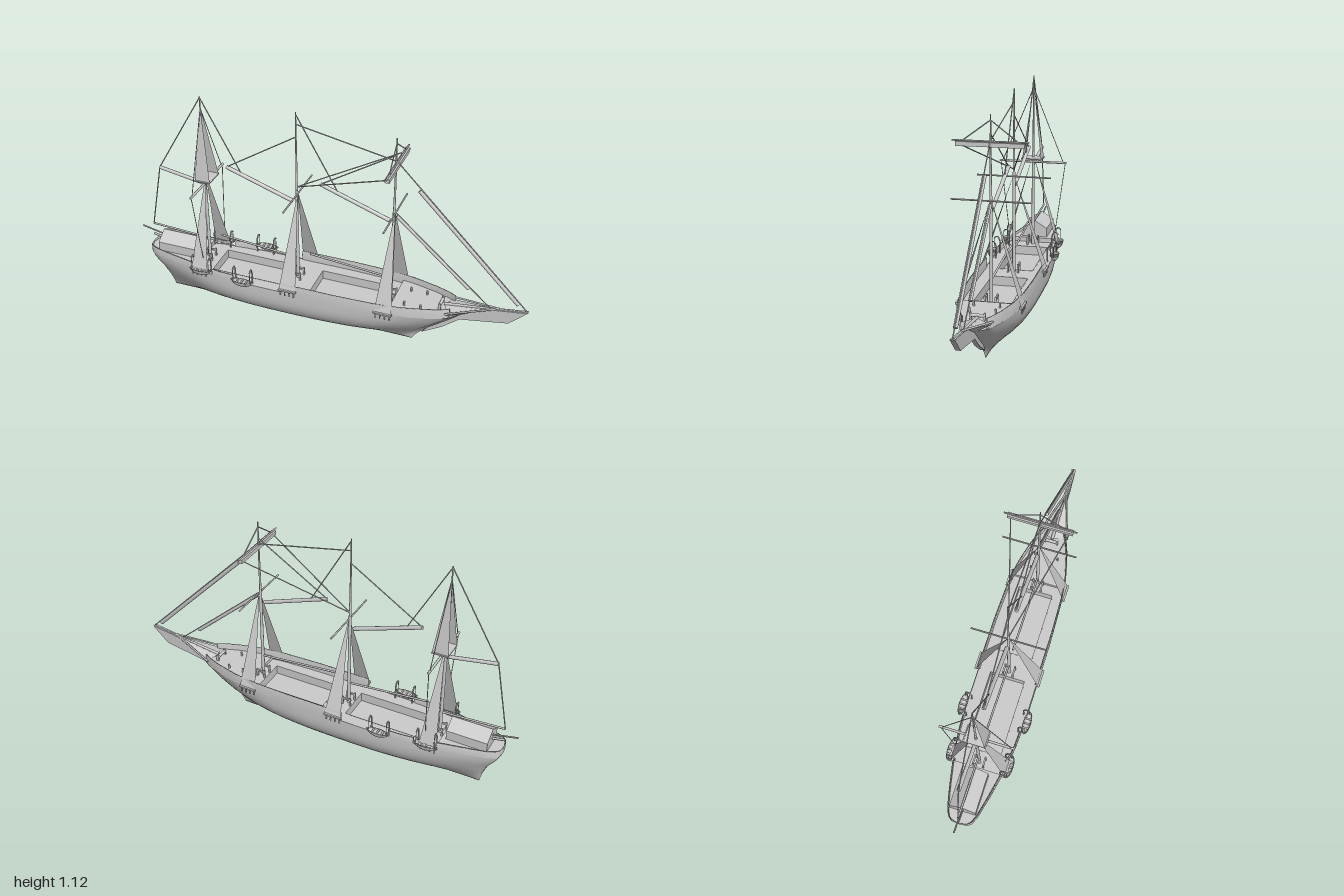
import * as THREE from 'three';

const MAT = new THREE.MeshStandardMaterial({ color: 0xcccccc, side: THREE.DoubleSide });
const V = (x, y, z = 0) => new THREE.Vector3(x, y, z);

// piecewise-linear lookup through [key, value] pairs
function lookup(table, k) {
  if (k <= table[0][0]) return table[0][1];
  for (let i = 1; i < table.length; i++) {
    const [a, va] = table[i - 1], [b, vb] = table[i];
    if (k <= b) return va + (vb - va) * (k - a) / (b - a);
  }
  return table[table.length - 1][1];
}

const BEAM = [[-0.94, 0], [-0.935, 0.042], [-0.92, 0.06], [-0.88, 0.077], [-0.78, 0.1], [-0.63, 0.13],
  [-0.5, 0.145], [-0.35, 0.152], [0.1, 0.152], [0.3, 0.145], [0.42, 0.13], [0.54, 0.1], [0.63, 0.067], [0.7, 0]];
const STERN = [[0, -0.84], [0.06, -0.855], [0.13, -0.885], [0.19, -0.93], [0.22, -0.94]];
const STEM = [[0, 0.45], [0.04, 0.475], [0.12, 0.575], [0.17, 0.64], [0.22, 0.7]];
const beam = x => lookup(BEAM, x);
const RAIL = 0.22;

export function createModel() {
  const ship = new THREE.Group();
  ship.name = 'sailingShip';

  const add = (name, geo, x = 0, y = 0, z = 0) => {
    const m = new THREE.Mesh(geo, MAT);
    m.name = name;
    m.position.set(x, y, z);
    ship.add(m);
    return m;
  };
  const box = (name, w, h, d, x, y, z) => add(name, new THREE.BoxGeometry(w, h, d), x, y, z);
  const rod = (name, a, b, r = 0.002, r2 = r, sides = 6) => {
    const m = add(name, new THREE.CylinderGeometry(r2, r, a.distanceTo(b), sides));
    m.position.copy(a).lerp(b, 0.5);
    m.quaternion.setFromUnitVectors(V(0, 1, 0), b.clone().sub(a).normalize());
    return m;
  };
  // surface lofted from cross-sections: fn(i, j) gives a point
  const loft = (name, nu, nv, fn) => {
    const pos = [], idx = [];
    for (let i = 0; i <= nu; i++) for (let j = 0; j <= nv; j++) pos.push(...fn(i, j));
    for (let i = 0; i < nu; i++) for (let j = 0; j < nv; j++) {
      const a = i * (nv + 1) + j, b = a + nv + 1;
      idx.push(a, a + 1, b, b, a + 1, b + 1);
    }
    const g = new THREE.BufferGeometry();
    g.setAttribute('position', new THREE.Float32BufferAttribute(pos, 3));
    g.setIndex(idx);
    g.computeVertexNormals();
    return add(name, g);
  };
  const panel = (name, ...pts) => {
    const g = new THREE.BufferGeometry().setFromPoints(pts);
    g.setIndex(pts.length === 4 ? [0, 1, 2, 0, 2, 3] : [0, 1, 2]);
    g.computeVertexNormals();
    return add(name, g);
  };

  // hull: round-bilged amidships, sharp at the ends
  const NU = 48, NV = 12;
  loft('hull', NU, NV * 2, (i, j) => {
    const u = (1 - Math.cos(Math.PI * i / NU)) / 2;
    const t = Math.pow(Math.abs(j - NV) / NV, 1.4), y = t * RAIL;
    const x0 = lookup(STERN, y), x1 = lookup(STEM, y);
    const p = 1.4 + 2.3 * Math.pow(Math.sin(Math.PI * u), 0.8);
    const z = beam(-0.94 + 1.64 * u) * (1 - Math.pow(1 - t, p));
    return [x0 + (x1 - x0) * u, y, Math.sign(j - NV) * z];
  });

  // decks cut to the hull outline, the main deck with two open wells
  const wells = [[-0.57, -0.17], [-0.05, 0.31]], WZ = 0.09;
  const deck = (name, x0, x1, y, holes = []) => {
    const edge = [];
    for (let i = 0; i <= 24; i++) {
      const x = x0 + (x1 - x0) * i / 24;
      edge.push([x, Math.max(0, beam(x) - 0.002)]);
    }
    const pts = [...edge, ...edge.slice().reverse().map(([x, z]) => [x, -z])];
    const s = new THREE.Shape(pts.map(p => new THREE.Vector2(...p)));
    for (const [a, b] of holes)
      s.holes.push(new THREE.Path([[a, -WZ], [a, WZ], [b, WZ], [b, -WZ]].map(p => new THREE.Vector2(...p))));
    add(name, new THREE.ShapeGeometry(s).rotateX(-Math.PI / 2), 0, y, 0);
  };
  deck('mainDeck', -0.67, 0.37, 0.217, wells);
  deck('poopDeck', -0.939, -0.66, 0.24);
  deck('foreDeck', 0.36, 0.699, 0.235);
  box('poopBulkhead', 0.004, 0.03, 0.25, -0.66, 0.225, 0);
  box('foreBulkhead', 0.004, 0.025, 0.27, 0.36, 0.2225, 0);
  for (const [a, b] of wells) {
    const c = (a + b) / 2;
    box('wellFloor', b - a, 0.004, WZ * 2, c, 0.17, 0);
    for (const s of [-1, 1]) {
      box('wellSide', b - a, 0.048, 0.004, c, 0.194, s * WZ);
      box('wellEnd', 0.004, 0.048, WZ * 2, c + s * (b - a) / 2, 0.194, 0);
    }
  }

  // bulwarks in separate lengths, with thickness
  for (const [a, b, top] of [[-0.94, -0.66, 0.252], [-0.55, -0.43, 0.25], [-0.18, 0.64, 0.267]])
    for (const s of [-1, 1])
      loft('bulwark', 24, 3, (i, j) => {
        const x = a + (b - a) * (a < -0.9 ? Math.pow(i / 24, 2) : i / 24);
        const z = Math.max(0, beam(x) - (j > 1 ? 0.007 : 0));
        return [x, j === 0 || j === 3 ? 0.215 : top, s * z];
      });

  // beak head: central plate with sloping side panels
  const beak = new THREE.Shape([[0.62, 0.25], [0.995, 0.305], [0.91, 0.225], [0.68, 0.185], [0.6, 0.12], [0.5, 0.06], [0.58, 0.16]]
    .map(p => new THREE.Vector2(...p)));
  add('beakHead', new THREE.ExtrudeGeometry(beak, { depth: 0.022, bevelEnabled: false }), 0, 0, -0.011);
  for (const s of [-1, 1]) {
    panel('headDeck', V(0.6, 0.25), V(0.84, 0.285), V(0.63, 0.235, s * 0.07));
    panel('headCheek', V(0.63, 0.235, s * 0.07), V(0.84, 0.285), V(0.69, 0.21));
    rod('headRail', V(0.62, 0.245, s * 0.075), V(0.86, 0.29), 0.005);
  }
  rod('bowsprit', V(0.6, 0.25), V(0.995, 0.303), 0.008, 0.004);

  // stern cabin with a gabled roof
  const gable = new THREE.Shape([[-0.065, 0], [0.065, 0], [0.065, 0.048], [0, 0.088], [-0.065, 0.048]]
    .map(p => new THREE.Vector2(...p)));
  add('cabin', new THREE.ExtrudeGeometry(gable, { depth: 0.2, bevelEnabled: false }).rotateY(Math.PI / 2), -0.88, 0.242, 0);
  rod('sternBoom', V(-1, 0.325), V(-0.86, 0.295), 0.004);
  rod('sternBracket', V(-0.94, 0.29), V(-0.87, 0.275), 0.006);

  // masts with shroud panels, chain plates and rail posts
  const masts = [['mizzen', -0.625, 1.12, 0.23], ['main', -0.145, 1.125, 0.24], ['fore', 0.335, 1.085, 0.225]];
  for (const [n, x, top, base] of masts) {
    rod(n + 'LowerMast', V(x, 0.17), V(x, 0.72), 0.009, 0.007, 8);
    rod(n + 'Topmast', V(x, 0.7), V(x, top), 0.006, 0.003, 8);
    for (const s of [-1, 1]) {
      const z = s * (beam(x) + 0.008);
      panel(n + 'Shrouds', V(x + 0.005, 0.71), V(x - 0.037, base, z), V(x + 0.048, base, z));
      box(n + 'Channel', 0.09, 0.008, 0.016, x + 0.005, base, z);
      for (let i = 0; i < 4; i++) box(n + 'ChainPlate', 0.005, 0.03, 0.005, x - 0.03 + i * 0.023, base - 0.015, z);
      box(n + 'BittRail', 0.05, 0.008, 0.008, x, 0.25, s * 0.025);
      for (const e of [-1, 1]) box(n + 'BittPost', 0.008, 0.045, 0.008, x + e * 0.02, 0.238, s * 0.025);
    }
  }

  // mizzen top with upper shrouds
  box('mizzenTop', 0.08, 0.006, 0.11, -0.615, 0.69, 0);
  for (const s of [-1, 1])
    panel('mizzenTopShrouds', V(-0.625, 1.07), V(-0.655, 0.69, s * 0.05), V(-0.575, 0.69, s * 0.05));

  // yards
  const yard = (n, x, y, half, r) => rod(n, V(x, y, -half), V(x, y, half), r);
  yard('mizzenYard', -0.615, 0.67, 0.178, 0.006);
  yard('mainYard', -0.14, 0.7, 0.182, 0.004);
  yard('foreYard', 0.342, 0.7, 0.182, 0.004);
  yard('foreTopYard', 0.342, 0.967, 0.172, 0.004);
  box('furledTopsail', 0.022, 0.02, 0.31, 0.342, 0.953, 0);

  // gaffs and booms with furled sails, and furled staysails
  for (const [n, x0, y0, x1, y1, r] of [
    ['mizzenGaff', -0.87, 0.695, -0.63, 0.653, 0.009], ['mainGaff', -0.505, 0.77, -0.165, 0.653, 0.01],
    ['foreGaff', -0.025, 0.775, 0.315, 0.653, 0.01], ['mizzenBoom', -0.935, 0.353, -0.63, 0.335, 0.005],
    ['mainBoom', -0.555, 0.37, -0.15, 0.333, 0.005], ['foreBoom', -0.08, 0.37, 0.33, 0.333, 0.005],
    ['outerStaysail', 0.45, 0.84, 0.945, 0.335, 0.01], ['innerStaysail', 0.35, 0.685, 0.71, 0.365, 0.009],
  ]) rod(n, V(x0, y0), V(x1, y1), r, r, 8);

  // rigging lines on the centre plane
  for (const [x0, y0, x1, y1] of [
    [0.335, 0.975, 0.99, 0.305], [0.345, 0.7, 0.82, 0.28], [-0.145, 1.065, 0.335, 0.97],
    [-0.505, 0.77, -0.145, 1], [-0.625, 1.115, -0.43, 0.75], [-0.145, 1.115, 0.06, 0.75],
    [-0.025, 0.775, 0.335, 1], [-0.625, 1.115, -0.87, 0.695], [-0.87, 0.695, -0.935, 0.355],
  ]) rod('stay', V(x0, y0), V(x1, y1), 0.0028);

  for (const s of [-1, 1]) {
    // yard lifts and braces
    rod('foreLift', V(0.335, 1.06), V(0.342, 0.967, s * 0.125), 0.0028);
    rod('foreBrace', V(-0.145, 0.735), V(0.342, 0.95, s * 0.14), 0.0028);
    rod('mizzenLift', V(-0.625, 1.06), V(-0.615, 0.67, s * 0.162), 0.002);
    rod('mizzenBrace', V(-0.615, 0.67, s * 0.172), V(-0.6, 0.3, s * 0.125), 0.002);

    // boats hung on curved davits
    for (const x of [-0.61, -0.378]) {
      const z = s * (beam(x) + 0.014);
      const hull = new THREE.SphereGeometry(1, 12, 6, 0, Math.PI * 2, Math.PI / 2, Math.PI / 2);
      add('boat', hull.scale(0.054, 0.03, 0.019), x, 0.242, z);
      const gunwale = new THREE.TorusGeometry(1, 0.08, 4, 16).rotateX(Math.PI / 2).scale(0.054, 0.03, 0.019);
      add('boatGunwale', gunwale, x, 0.242, z);
      for (const i of [-1, 0, 1]) box('boatThwart', 0.008, 0.003, 0.032, x + i * 0.024, 0.236, z);
      for (const e of [-1, 1]) {
        const dx = x + e * 0.045, dz = z - s * 0.03;
        const path = new THREE.CatmullRomCurve3([V(dx, 0.215, dz), V(dx, 0.285, dz), V(dx, 0.308, dz + s * 0.015), V(dx, 0.296, z)]);
        add('davit', new THREE.TubeGeometry(path, 10, 0.004, 5));
        rod('boatFall', V(dx, 0.298, z), V(dx, 0.24, z), 0.0018);
      }
    }
    // foredeck bollards
    for (const x of [0.42, 0.5]) rod('bollard', V(x, 0.235, s * 0.06), V(x, 0.258, s * 0.06), 0.005);
    box('windlassPost', 0.012, 0.035, 0.008, 0.585, 0.25, s * 0.032);
  }
  rod('windlass', V(0.585, 0.255, -0.035), V(0.585, 0.255, 0.035), 0.008, 0.008, 8);

  return ship;
}
